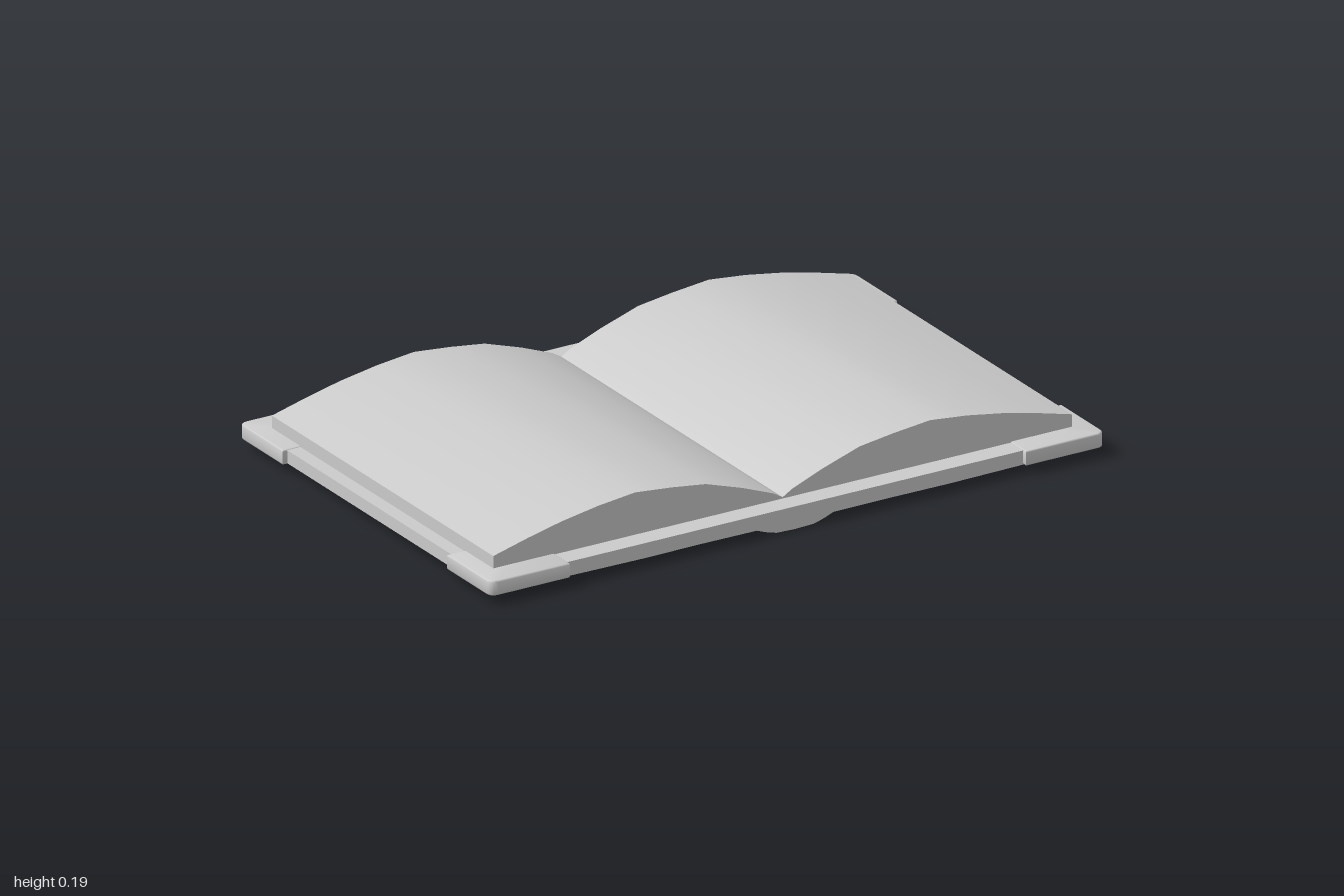
import * as THREE from 'three';
import { toCreasedNormals } from 'three/addons/utils/BufferGeometryUtils.js';

const material = new THREE.MeshStandardMaterial({ color: 0xcccccc });

function addMesh(group, name, geometry, crease = 0.5) {
  const mesh = new THREE.Mesh(toCreasedNormals(geometry, crease), material);
  mesh.name = name;
  group.add(mesh);
}

// Extrude an x/y profile along z, centred on z = 0
function extrudeProfile(points, length) {
  const shape = new THREE.Shape(points.map(([x, y]) => new THREE.Vector2(x, y)));
  const geometry = new THREE.ExtrudeGeometry(shape, { depth: length, bevelEnabled: false });
  return geometry.translate(0, 0, -length / 2);
}

// Corner cap seen from above: square inside, rounded at the outer corner
function cornerGeometry(sx, sz) {
  const bevel = 0.005, r = 0.02;
  const x0 = sx * (0.742 + bevel), x1 = sx * (1 - bevel);
  const z0 = sz * (0.43 + bevel), z1 = sz * (0.66 - bevel);
  const shape = new THREE.Shape();
  shape.moveTo(x0, z0);
  shape.lineTo(x1, z0);
  shape.lineTo(x1, z1 - sz * r);
  shape.quadraticCurveTo(x1, z1, x1 - sx * r, z1);
  shape.lineTo(x0, z1);
  shape.closePath();
  const geometry = new THREE.ExtrudeGeometry(shape, {
    depth: 0.045 - 2 * bevel, curveSegments: 4,
    bevelThickness: bevel, bevelSize: bevel, bevelSegments: 2,
  });
  return geometry.rotateX(-Math.PI / 2).translate(0, 0.026 + bevel, 0);
}

export function createModel() {
  const book = new THREE.Group();
  book.name = 'openBook';

  // Cover with the spine bulging out underneath
  const underside = [[0.06, 0.002], [0.09, 0.01], [0.125, 0.023], [0.3, 0.024], [0.5, 0.023], [0.7, 0.025], [0.985, 0.029]];
  const cover = [
    [-0.985, 0.068],
    ...underside.map(([x, y]) => [-x, y]).reverse(),
    [0, 0], ...underside,
    [0.985, 0.068],
  ];
  addMesh(book, 'cover', extrudeProfile(cover, 1.29));

  // Two arched page blocks meeting at the gutter
  const arch = [[0, 0.072], [0.03, 0.09], [0.13, 0.129], [0.25, 0.168], [0.36, 0.183], [0.48, 0.195], [0.6, 0.182], [0.72, 0.162], [0.83, 0.137], [0.942, 0.108]];
  for (const side of [-1, 1]) {
    const pages = [[0, 0.06], ...arch, [0.942, 0.06]].map(([x, y]) => [side * x, y]);
    addMesh(book, side > 0 ? 'leftPages' : 'rightPages', extrudeProfile(pages, 1.16));
  }

  // Protective corner caps
  for (const sx of [-1, 1]) {
    for (const sz of [-1, 1]) {
      const name = (sz < 0 ? 'front' : 'back') + (sx > 0 ? 'Left' : 'Right') + 'Corner';
      addMesh(book, name, cornerGeometry(sx, sz), 0.8);
    }
  }
  return book;
}
